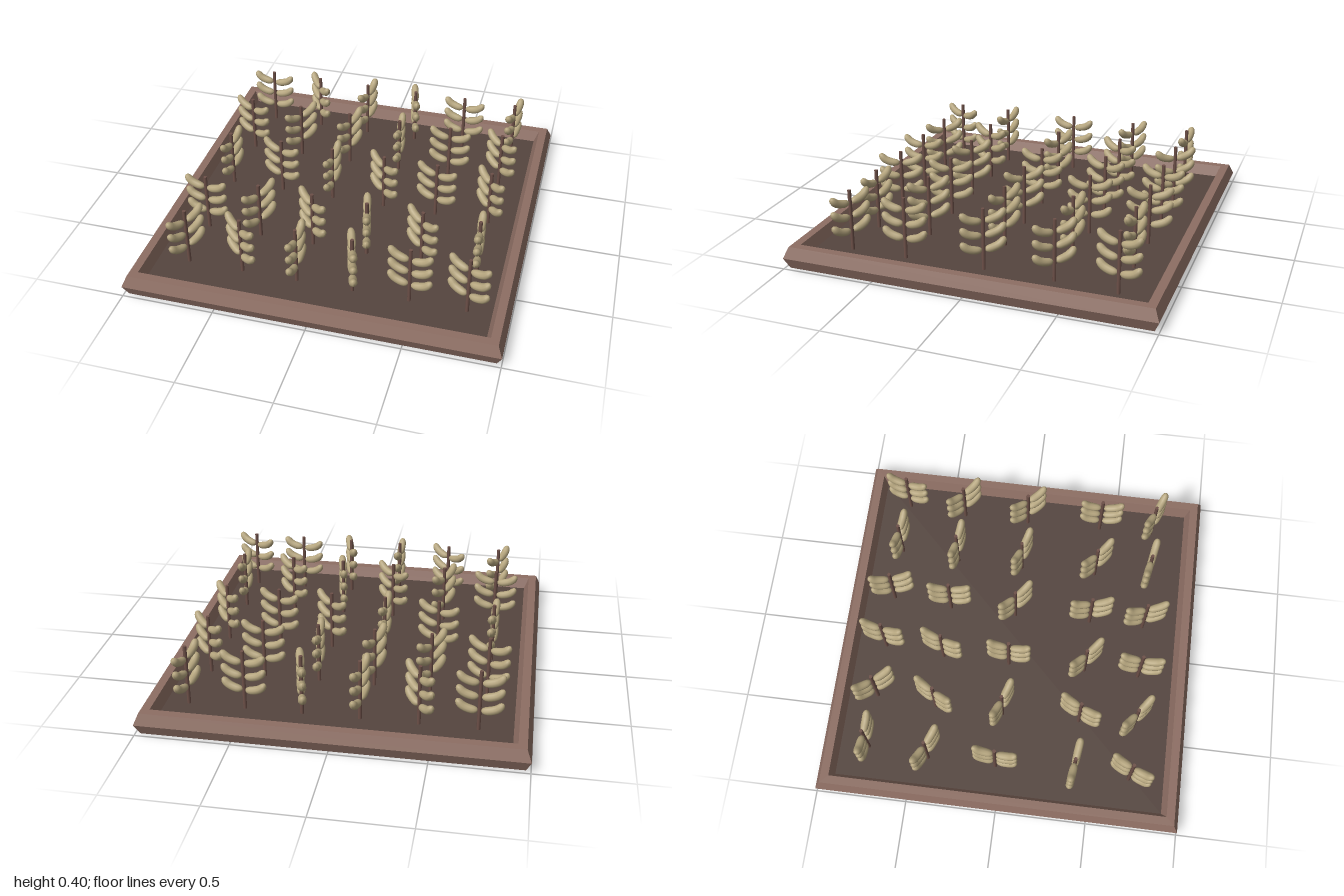
import * as THREE from 'three';

const wood = new THREE.MeshStandardMaterial({ color: 0x8d6e63, flatShading: true });
const earth = new THREE.MeshStandardMaterial({ color: 0x55453f, side: THREE.DoubleSide });
const stalk = new THREE.MeshStandardMaterial({ color: 0x6d5048 });
const husk = new THREE.MeshStandardMaterial({ color: 0xb5a57e });

// Planting rows: z, x of the first plant, and each plant's turn in degrees
const STEP = 0.302;
const ROWS = [
  { z: -0.745, x: -0.727, turns: [4, 52, 100, 75, 9, 102] },
  { z: -0.408, x: -0.75, turns: [25, 120, 108, 87, 9, 43] },
  { z: -0.03, x: -0.75, turns: [95, 21, 93, 42, 19, 50] },
  { z: 0.402, x: -0.738, turns: [8, 115, 42, 77, 41, 88] },
  { z: 0.71, x: -0.735, turns: [115, 38, 92, 72, 11, 24] },
];

// Plump curved grain: a sphere's rings laid out along an upturned curve
function grainGeometry() {
  const path = new THREE.CatmullRomCurve3([
    new THREE.Vector3(0.008, 0.018, 0),
    new THREE.Vector3(0.05, 0.022, 0),
    new THREE.Vector3(0.09, 0.038, 0),
    new THREE.Vector3(0.119, 0.071, 0),
  ]);
  const geo = new THREE.SphereGeometry(1, 10, 12);
  const pos = geo.attributes.position;
  for (let i = 0; i < pos.count; i++) {
    const y = pos.getY(i);
    const t = THREE.MathUtils.clamp((1 - y) / 2, 0, 1);
    const p = path.getPointAt(t);
    const d = path.getTangentAt(t);
    const ring = Math.sqrt(Math.max(0, 1 - y * y));
    // blunter ends than a plain ellipsoid
    const grow = ring > 1e-4 ? Math.sqrt(Math.max(0, 1 - y ** 4)) / ring : 0;
    const up = pos.getX(i) * grow * 0.022;
    const side = pos.getZ(i) * grow * 0.0225;
    pos.setXYZ(i, p.x - d.y * up, p.y + d.x * up, side);
  }
  geo.computeVertexNormals();
  return geo;
}

export function createModel() {
  const model = new THREE.Group();
  model.name = 'cropPlot';

  // Square mitred border with a six-sided cross-section
  const profile = [[0.93, 0], [0.975, 0], [1, 0.06], [0.975, 0.12], [0.93, 0.12], [0.905, 0.06], [0.93, 0]]
    .map(([r, y]) => new THREE.Vector2(r * Math.SQRT2, y));
  const border = new THREE.Mesh(new THREE.LatheGeometry(profile, 4, Math.PI / 4), wood);
  border.name = 'border';
  model.add(border);

  // Soil bed inside the border
  const soil = new THREE.Mesh(new THREE.PlaneGeometry(1.82, 1.82).rotateX(-Math.PI / 2), earth);
  soil.name = 'soil';
  soil.position.y = 0.06;
  model.add(soil);

  // Plants: a stem with three pairs of grains
  const stemGeo = new THREE.CylinderGeometry(0.01, 0.01, 0.34, 8);
  const grainGeo = grainGeometry();
  for (const row of ROWS) {
    row.turns.forEach((turn, i) => {
      const plant = new THREE.Group();
      plant.name = 'plant';
      plant.position.set(row.x + i * STEP, 0, row.z);
      plant.rotation.y = -THREE.MathUtils.degToRad(turn);

      const stem = new THREE.Mesh(stemGeo, stalk);
      stem.name = 'stem';
      stem.position.y = 0.229;
      plant.add(stem);

      for (const y of [0.153, 0.233, 0.313]) {
        for (const half of [0, Math.PI]) {
          const grain = new THREE.Mesh(grainGeo, husk);
          grain.name = 'grain';
          grain.position.y = y;
          grain.rotation.y = half;
          plant.add(grain);
        }
      }
      model.add(plant);
    });
  }
  return model;
}
